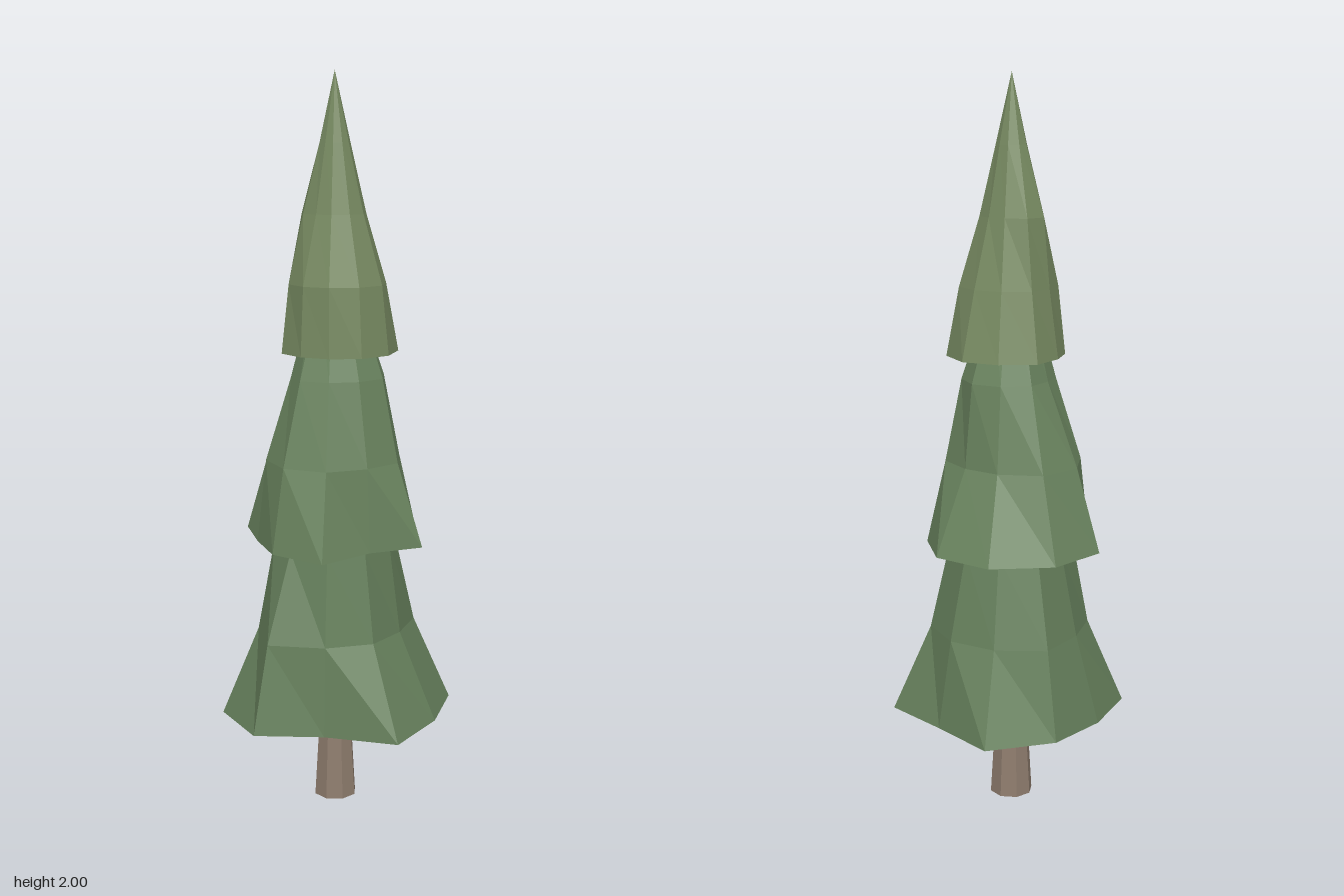
import * as THREE from 'three';

const SIDES = 10;
const AXIS = { x: -0.013, z: 0.005 };

// Ragged cone tier: each ring lists its radii every 36 degrees, starting at +x and turning towards -z.
function makeTier({ name, base, top, color, rings }) {
  const step = (top - base) / 4;
  const point = (r, j, y) => {
    const a = (j % SIDES) * Math.PI * 2 / SIDES;
    return [r * Math.cos(a), y, -r * Math.sin(a)];
  };
  const loops = rings.map((radii, i) =>
    Array.from({ length: SIDES + 1 }, (_, j) => point(radii[j % SIDES], j, base + i * step)));
  const tip = [0, top, 0], centre = [0, base, 0];
  const pos = [];
  const tri = (...corners) => corners.forEach(c => pos.push(...c));
  for (let j = 0; j < SIDES; j++) {
    tri(centre, loops[0][j + 1], loops[0][j]); // flat underside
    for (let i = 0; i < loops.length - 1; i++) {
      const a = loops[i][j], b = loops[i][j + 1], c = loops[i + 1][j + 1], d = loops[i + 1][j];
      tri(a, b, d);
      tri(b, c, d);
    }
    const last = loops[loops.length - 1];
    tri(last[j], last[j + 1], tip);
  }
  const geo = new THREE.BufferGeometry();
  geo.setAttribute('position', new THREE.Float32BufferAttribute(pos, 3));
  geo.computeVertexNormals();
  const mesh = new THREE.Mesh(geo, new THREE.MeshStandardMaterial({ color, flatShading: true }));
  mesh.name = name;
  return mesh;
}

const TIERS = [
  {
    name: 'lowerFoliage', base: 0.262, top: 1.22, color: 0x66805c,
    rings: [
      [0.301, 0.331, 0.264, 0.331, 0.295, 0.275, 0.317, 0.320, 0.246, 0.340],
      [0.195, 0.225, 0.220, 0.220, 0.240, 0.205, 0.215, 0.265, 0.220, 0.210],
      [0.163, 0.170, 0.165, 0.160, 0.175, 0.155, 0.170, 0.175, 0.175, 0.165],
      [0.080, 0.085, 0.080, 0.080, 0.085, 0.075, 0.080, 0.085, 0.085, 0.080],
    ],
  },
  {
    name: 'middleFoliage', base: 0.748, top: 1.65, color: 0x6a845f,
    rings: [
      [0.258, 0.232, 0.266, 0.284, 0.285, 0.272, 0.215, 0.243, 0.281, 0.190],
      [0.185, 0.180, 0.165, 0.175, 0.205, 0.202, 0.190, 0.200, 0.195, 0.175],
      [0.140, 0.135, 0.140, 0.135, 0.130, 0.112, 0.120, 0.135, 0.130, 0.130],
      [0.065, 0.060, 0.065, 0.060, 0.060, 0.055, 0.060, 0.060, 0.060, 0.060],
    ],
  },
  {
    name: 'upperFoliage', base: 1.262, top: 2, color: 0x788b62,
    rings: [
      [0.157, 0.175, 0.173, 0.163, 0.167, 0.142, 0.145, 0.132, 0.132, 0.144],
      [0.137, 0.140, 0.130, 0.125, 0.130, 0.115, 0.125, 0.122, 0.125, 0.130],
      [0.083, 0.085, 0.080, 0.085, 0.100, 0.097, 0.085, 0.072, 0.075, 0.080],
      [0.040, 0.042, 0.042, 0.045, 0.048, 0.044, 0.040, 0.036, 0.037, 0.040],
    ],
  },
];

export function createModel() {
  const tree = new THREE.Group();
  tree.name = 'tree';

  // Tapered trunk, reaching a little way into the foliage
  const trunk = new THREE.Mesh(
    new THREE.CylinderGeometry(0.042, 0.06, 0.3, 8),
    new THREE.MeshStandardMaterial({ color: 0x8f7d6e, flatShading: true }));
  trunk.name = 'trunk';
  trunk.position.y = 0.15;
  tree.add(trunk);

  for (const tier of TIERS) tree.add(makeTier(tier));

  // All parts share one slightly off-centre axis
  for (const part of tree.children) {
    part.position.x = AXIS.x;
    part.position.z = AXIS.z;
  }
  return tree;
}
